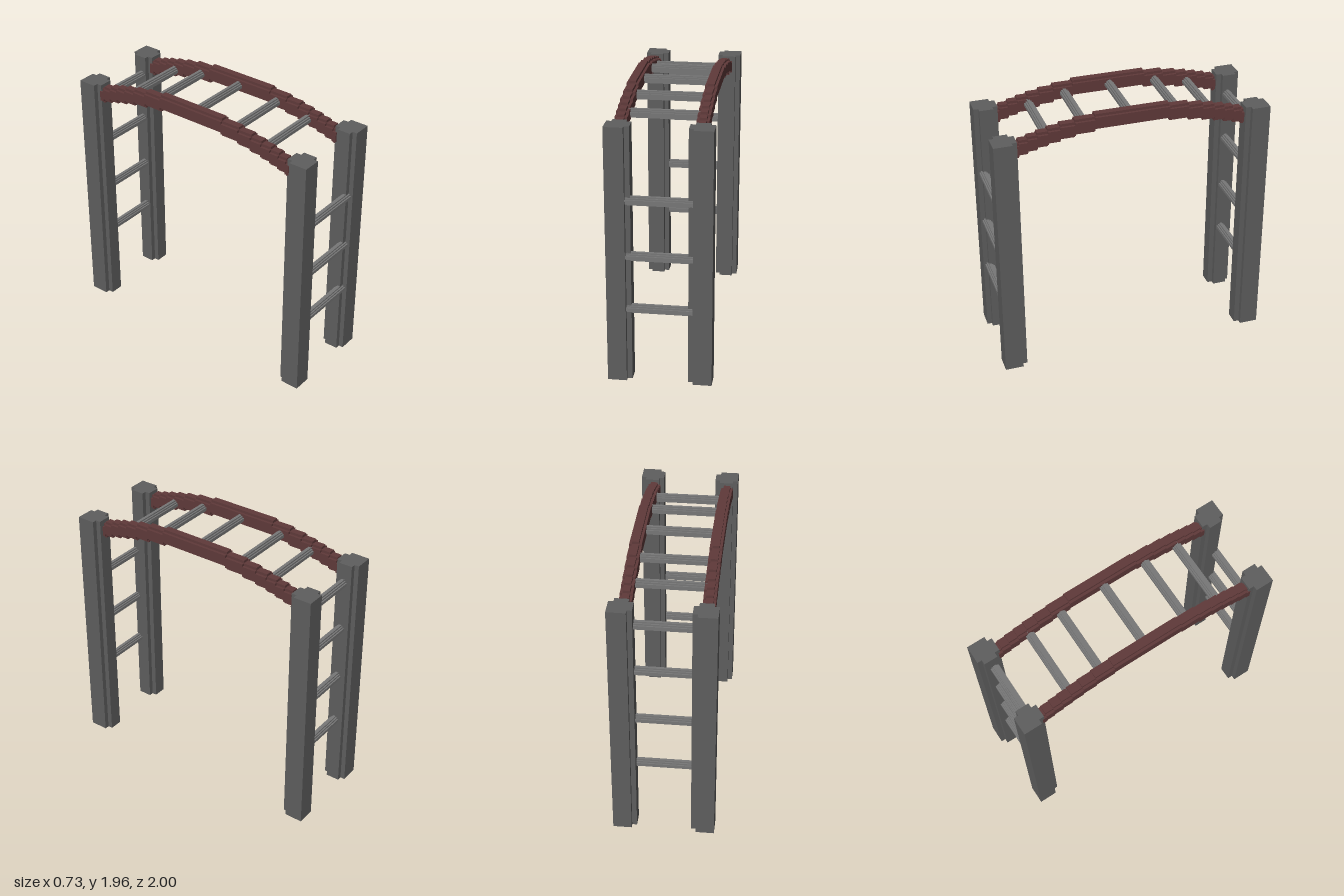
import * as THREE from 'three';

const material = (color) => new THREE.MeshStandardMaterial({ color, flatShading: true });

// Prism from a 2D outline
function prism(points, depth) {
  const shape = new THREE.Shape(points.map(([x, y]) => new THREE.Vector2(x, y)));
  return new THREE.ExtrudeGeometry(shape, { depth, bevelEnabled: false });
}

export function createModel() {
  const group = new THREE.Group();
  const postMat = material(0x5e5e5e);
  const rungMat = material(0x777777);
  const railMat = material(0x603a3a);

  const add = (name, geometry, mat) => {
    const mesh = new THREE.Mesh(geometry, mat);
    mesh.name = name;
    group.add(mesh);
    return mesh;
  };

  // Four corner posts with stepped inner corners
  const postSection = [
    [0.365, 1], [0.231, 1], [0.231, 0.966], [0.196, 0.966], [0.196, 0.865],
    [0.231, 0.865], [0.231, 0.828], [0.33, 0.828], [0.33, 0.865], [0.365, 0.865],
  ];
  for (const sx of [-1, 1]) for (const sz of [-1, 1]) {
    const geo = prism(postSection.map(([x, z]) => [x * sx, -z * sz]), 1.86).rotateX(-Math.PI / 2);
    add(`${sz > 0 ? 'front' : 'back'}${sx > 0 ? 'Left' : 'Right'}Post`, geo, postMat);
  }

  // Arched side rails: stepped outline, narrower core standing proud of the outer layer
  const step = 0.0187;
  const stepZ = (k) => 0.27 * Math.sqrt(1 + 1.33 * k);
  function archOutline(top, bottom) {
    const half = [];
    for (let k = 0; k <= 7; k++) {
      const drop = k * step;
      if (k > 0) half.push([stepZ(k - 1), drop]);
      half.push([k < 7 ? stepZ(k) : 0.84, drop]);
    }
    const mirrored = half.map(([z, d]) => [-z, d]).reverse();
    const upper = [...mirrored, ...half];
    return [
      ...upper.map(([z, d]) => [z, top - d]),
      ...upper.reverse().map(([z, d]) => [z, bottom - d]),
    ];
  }
  const railLayers = [[0.087, 1.943, 1.868], [0.05, 1.962, 1.849]];
  for (const [side, x] of [['left', 0.263], ['right', -0.289]]) {
    const rail = new THREE.Group();
    rail.name = `${side}ArchRail`;
    for (const [width, top, bottom] of railLayers) {
      const geo = prism(archOutline(top, bottom), width).rotateY(Math.PI / 2);
      const layer = new THREE.Mesh(geo, railMat);
      layer.name = `${side}RailLayer`;
      layer.position.x = x - width / 2;
      rail.add(layer);
    }
    group.add(rail);
  }

  // Rungs with a stepped round section
  const quarter = [[0.032, 0.011], [0.022, 0.011], [0.022, 0.022], [0.011, 0.022], [0.011, 0.032]];
  const rungSection = [
    ...quarter,
    ...quarter.map(([x, y]) => [-x, y]).reverse(),
    ...quarter.map(([x, y]) => [-x, -y]),
    ...quarter.map(([x, y]) => [x, -y]).reverse(),
  ];
  function addRung(name, x0, x1, y, z) {
    const rung = add(name, prism(rungSection, x1 - x0).rotateY(Math.PI / 2), rungMat);
    rung.position.set(x0, y, z);
  }

  // Ladder rungs: three at the front, four at the back
  const ladderY = [0.545, 0.935, 1.34];
  for (const y of ladderY) addRung('frontLadderRung', -0.235, 0.235, y, 0.955);
  for (const y of [...ladderY, 1.71]) addRung('backLadderRung', -0.235, 0.235, y, -0.902);

  // Overhead rungs following the arch
  const overhead = [[-0.595, 1.837], [-0.345, 1.885], [0, 1.904], [0.335, 1.885], [0.6, 1.837]];
  for (const [z, y] of overhead) addRung('overheadRung', -0.26, 0.235, y, z);

  return group;
}
